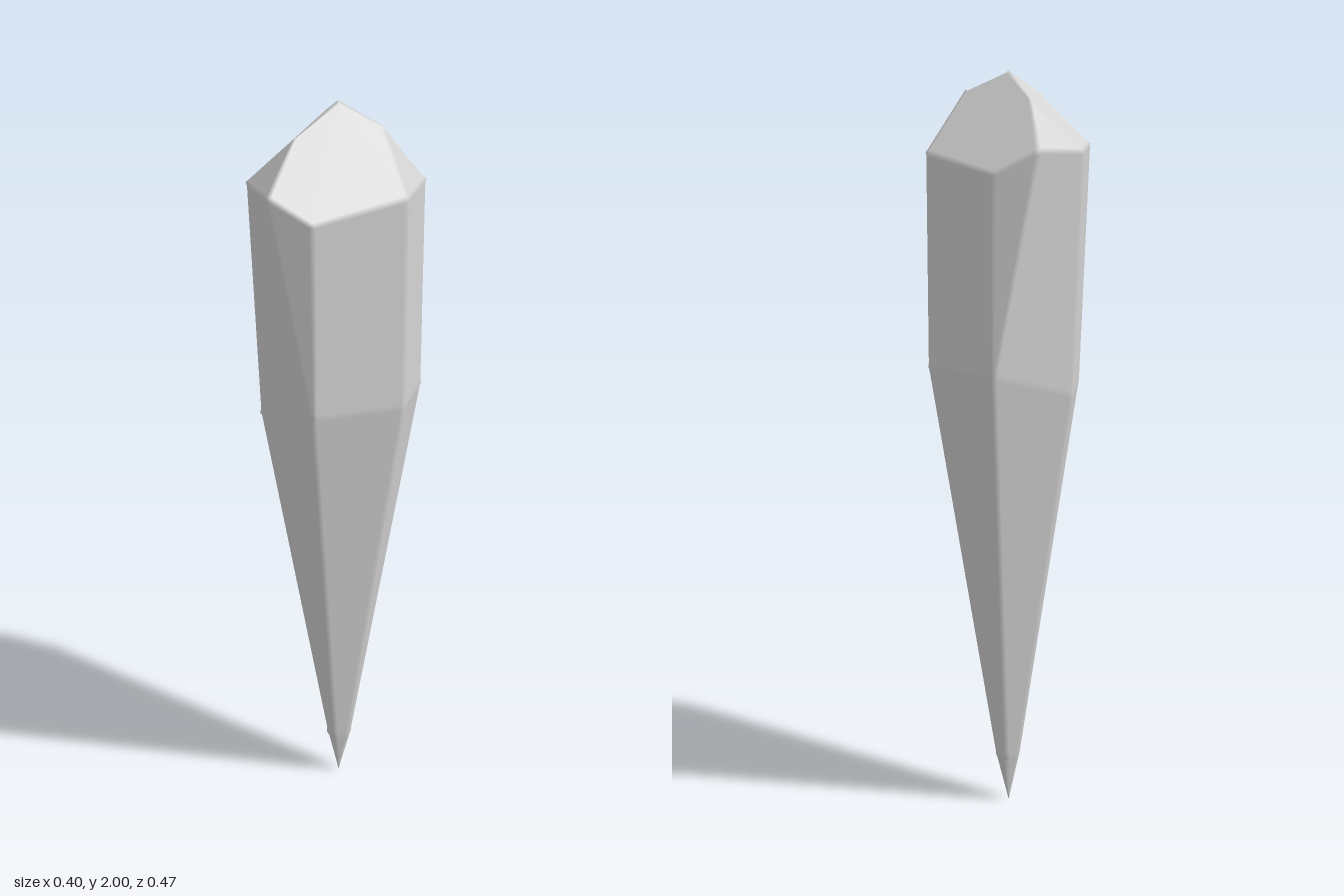
import * as THREE from 'three';

const BEVEL = 0.009;

// Corner points of the front half (z >= 0); the back half is mirrored
const P = {
  apex: [0, 2, 0], ridge: [0.11, 1.95, 0], hip: [-0.065, 1.94, 0.13],
  // shoulder ring
  sA: [0.2, 1.8, 0.08], sB: [0.01, 1.765, 0.235], sC: [-0.1, 1.82, 0.235], sD: [-0.2, 1.81, 0.11],
  // waist ring
  wA: [0.2, 1.25, 0.08], wB: [0.01, 1.26, 0.235], wD: [-0.178, 1.19, 0.107],
  // ring above the tip
  tA: [0.034, 0.14, 0.014], tB: [0.002, 0.14, 0.036], tD: [-0.03, 0.14, 0.017],
  tip: [0, 0, 0],
};

// Facets mirrored to the back, from the crown down to the point
const SIDE_FACETS = [
  'apex ridge sA sB sC hip', 'hip sC sD',
  'sA wA wB sB', 'sB wB sC', 'sC wB wD sD',
  'wA tA tB wB', 'wB tB tD wD',
  'tA tip tB', 'tB tip tD',
];
// Facets crossing z = 0; a trailing ' marks a mirrored corner
const MID_FACETS = [
  "ridge sA sA'", "apex hip sD sD' hip'",
  "sA wA wA' sA'", "sD wD wD' sD'",
  "wA tA tA' wA'", "wD tD tD' wD'",
  "tA tip tA'", "tD tip tD'",
];

// Mirrored corner name; corners on z = 0 mirror onto themselves
const mirror = (name) => (P[name][2] === 0 ? name : name + "'");

function cornerPoint(name) {
  const [x, y, z] = P[name.replace("'", '')];
  return new THREE.Vector3(x, y, name.endsWith("'") ? -z : z);
}

// Outward normal averaged over one facet
function facetNormal(points) {
  const normal = new THREE.Vector3();
  const centre = new THREE.Vector3();
  points.forEach((p, i) => {
    normal.add(p.clone().cross(points[(i + 1) % points.length]));
    centre.addScaledVector(p, 1 / points.length);
  });
  normal.normalize();
  const outward = centre.sub(new THREE.Vector3(0, 1.2, 0));
  return normal.dot(outward) < 0 ? normal.negate() : normal;
}

// Flat facets joined by narrow softly shaded bevels
function buildCrystal() {
  const positions = [], normals = [];
  const corners = {}, edges = {};

  function triangle(...tri) {
    const [a, b, c] = tri.map((v) => v.p);
    const face = b.clone().sub(a).cross(c.clone().sub(a));
    const average = new THREE.Vector3();
    tri.forEach((v) => average.add(v.n));
    if (face.dot(average) < 0) tri.reverse();
    for (const v of tri) {
      positions.push(...v.p.toArray());
      normals.push(...v.n.clone().normalize().toArray());
    }
  }

  const facets = [
    ...SIDE_FACETS.map((f) => f.split(' ')),
    ...SIDE_FACETS.map((f) => f.split(' ').map(mirror)),
    ...MID_FACETS.map((f) => f.split(' ')),
  ];

  // Facet faces, pulled in from their borders
  for (const names of facets) {
    const points = names.map(cornerPoint);
    const count = points.length;
    const n = facetNormal(points);
    const inset = points.map((point, i) => {
      const p = point.clone();
      for (const j of [(i + 1) % count, (i + count - 1) % count]) {
        p.addScaledVector(points[j].clone().sub(point).normalize(), BEVEL);
      }
      return { p, n };
    });
    for (let i = 1; i < count - 1; i++) triangle(inset[0], inset[i], inset[i + 1]);

    names.forEach((name, i) => {
      const next = (i + 1) % count;
      corners[name] ??= { p: points[i], n: new THREE.Vector3() };
      corners[name].n.add(n);
      const key = [name, names[next]].sort().join(' ');
      (edges[key] ??= []).push({ [name]: inset[i], [names[next]]: inset[next] });
    });
  }
  Object.values(corners).forEach((c) => c.n.normalize());

  // Bevel strips between neighbouring facets, closed at both corners
  for (const [key, [f, g]] of Object.entries(edges)) {
    const [u, v] = key.split(' ');
    triangle(f[u], f[v], g[v]);
    triangle(f[u], g[v], g[u]);
    triangle(corners[u], f[u], g[u]);
    triangle(corners[v], f[v], g[v]);
  }

  const geometry = new THREE.BufferGeometry();
  geometry.setAttribute('position', new THREE.Float32BufferAttribute(positions, 3));
  geometry.setAttribute('normal', new THREE.Float32BufferAttribute(normals, 3));
  return geometry;
}

export function createModel() {
  const stone = new THREE.MeshStandardMaterial({ color: 0xd4d4d4 });
  stone.name = 'pale grey stone';
  const crystal = new THREE.Mesh(buildCrystal(), stone);
  crystal.name = 'crystal';
  const model = new THREE.Group();
  model.name = 'crystal shard';
  model.add(crystal);
  return model;
}
